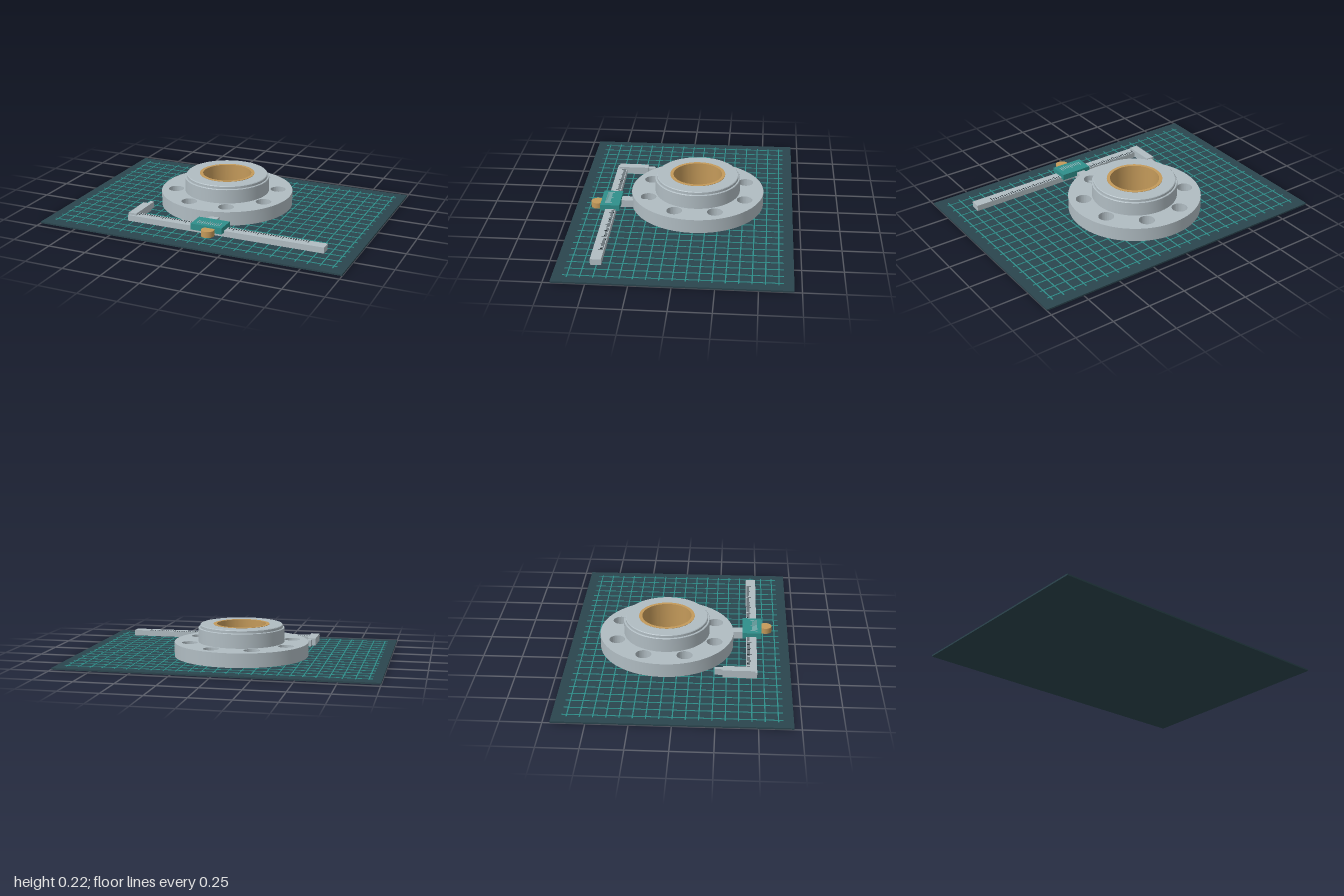
import * as THREE from 'three';
import { mergeGeometries, toCreasedNormals } from 'three/addons/utils/BufferGeometryUtils.js';

const mat = (name, color) => {
  const m = new THREE.MeshStandardMaterial({ color });
  m.name = name;
  return m;
};

export function createModel() {
  const steel = mat('steel', 0xb0bcc2);
  const brass = mat('brass', 0xc49a5a);
  const teal = mat('teal', 0x2f8f8b);
  const slate = mat('dark slate', 0x2b454e);
  const ink = mat('ink', 0x2a3338);

  const root = new THREE.Group();
  root.name = 'measuringScene';

  const add = (parent, name, geometry, material) => {
    const mesh = new THREE.Mesh(geometry, material);
    mesh.name = name;
    parent.add(mesh);
    return mesh;
  };
  // Box given by its min and max on each axis
  const span = (x0, x1, y0, y1, z0, z1) =>
    new THREE.BoxGeometry(x1 - x0, y1 - y0, z1 - z0)
      .translate((x0 + x1) / 2, (y0 + y1) / 2, (z0 + z1) / 2);
  const group = (name) => {
    const g = new THREE.Group();
    g.name = name;
    root.add(g);
    return g;
  };
  const lathe = (points) => toCreasedNormals(
    new THREE.LatheGeometry(points.map(([r, y]) => new THREE.Vector2(r, y)), 96).toNonIndexed(), 0.6);

  // Cutting mat with a printed grid
  const board = group('cuttingMat');
  add(board, 'matSheet', span(-1, 1, 0, 0.01, -0.705, 0.705), slate);
  const lines = [];
  const pitch = 0.077, w = 0.0035;
  for (let i = -12; i <= 12; i++) {
    lines.push(span(i * pitch - w, i * pitch + w, 0.009, 0.0125, -0.645, 0.645));
  }
  for (let i = -8; i <= 8; i++) {
    lines.push(span(-0.945, 0.945, 0.009, 0.0125, i * pitch - w, i * pitch + w));
  }
  add(board, 'matGrid', mergeGeometries(lines), teal);

  // Flange: drilled disc, stepped hub and bushing
  const flange = group('pipeFlange');
  flange.position.set(-0.056, 0, -0.083);
  const disc = new THREE.Shape().absarc(0, 0, 0.43, 0, Math.PI * 2);
  const drill = (x, y, r) => disc.holes.push(new THREE.Path().absarc(x, y, r, 0, Math.PI * 2, true));
  drill(0, 0, 0.172);
  for (let i = 0; i < 8; i++) {
    const a = (i + 0.5) * Math.PI / 4;
    drill(Math.cos(a) * 0.336, Math.sin(a) * 0.336, 0.05);
  }
  const discGeo = new THREE.ExtrudeGeometry(disc, { depth: 0.09, bevelEnabled: false, curveSegments: 64 })
    .rotateX(-Math.PI / 2).translate(0, 0.018, 0);
  add(flange, 'boltDisc', toCreasedNormals(discGeo, 0.6), steel);
  add(flange, 'hub', lathe([
    [0.276, 0.1], [0.276, 0.198], [0.273, 0.201], [0.265, 0.201],
    [0.265, 0.216], [0.261, 0.22], [0.172, 0.22],
  ]), steel);
  add(flange, 'bushing', lathe([
    [0.158, 0.018], [0.179, 0.018], [0.179, 0.222], [0.158, 0.222], [0.158, 0.018],
  ]), brass);

  // Caliper: beam, jaws, slider and thumb wheel
  const caliper = group('caliper');
  add(caliper, 'beam', span(-0.485, 0.82, 0.024, 0.062, 0.43, 0.497), steel);
  const jaw = (name, x0, x1, t0, t1, zEnd) => {
    add(caliper, name, span(x0, x1, 0.026, 0.075, 0.285, zEnd), steel);
    add(caliper, name + 'Tip', span(t0, t1, 0.03, 0.07, 0.235, 0.286), steel);
  };
  jaw('fixedJaw', -0.485, -0.43, -0.462, -0.435, 0.485);
  jaw('slidingJaw', 0.012, 0.072, 0.036, 0.064, 0.43);
  add(caliper, 'slider', span(-0.03, 0.178, 0.05, 0.09, 0.406, 0.53), teal);
  add(caliper, 'thumbWheel',
    new THREE.CylinderGeometry(0.041, 0.041, 0.038, 32).translate(0.097, 0.06, 0.556), brass);

  // Graduations on the beam, longer every fifth mark
  const marks = [];
  for (let i = 0; i <= 70; i++) {
    const x = -0.42 + i * 0.0161;
    const len = i % 10 === 0 ? 0.03 : i % 5 === 0 ? 0.024 : 0.018;
    marks.push(span(x - 0.0025, x + 0.0025, 0.061, 0.0635, 0.435, 0.435 + len));
  }
  add(caliper, 'beamMarks', mergeGeometries(marks), ink);

  // Vernier marks on the slider
  const vernier = [];
  for (let i = 0; i <= 10; i++) {
    const x = 0.002 + i * 0.0145;
    vernier.push(span(x - 0.002, x + 0.002, 0.089, 0.0915, i % 5 ? 0.468 : 0.458, 0.502));
  }
  add(caliper, 'vernierMarks', mergeGeometries(vernier), steel);

  return root;
}
